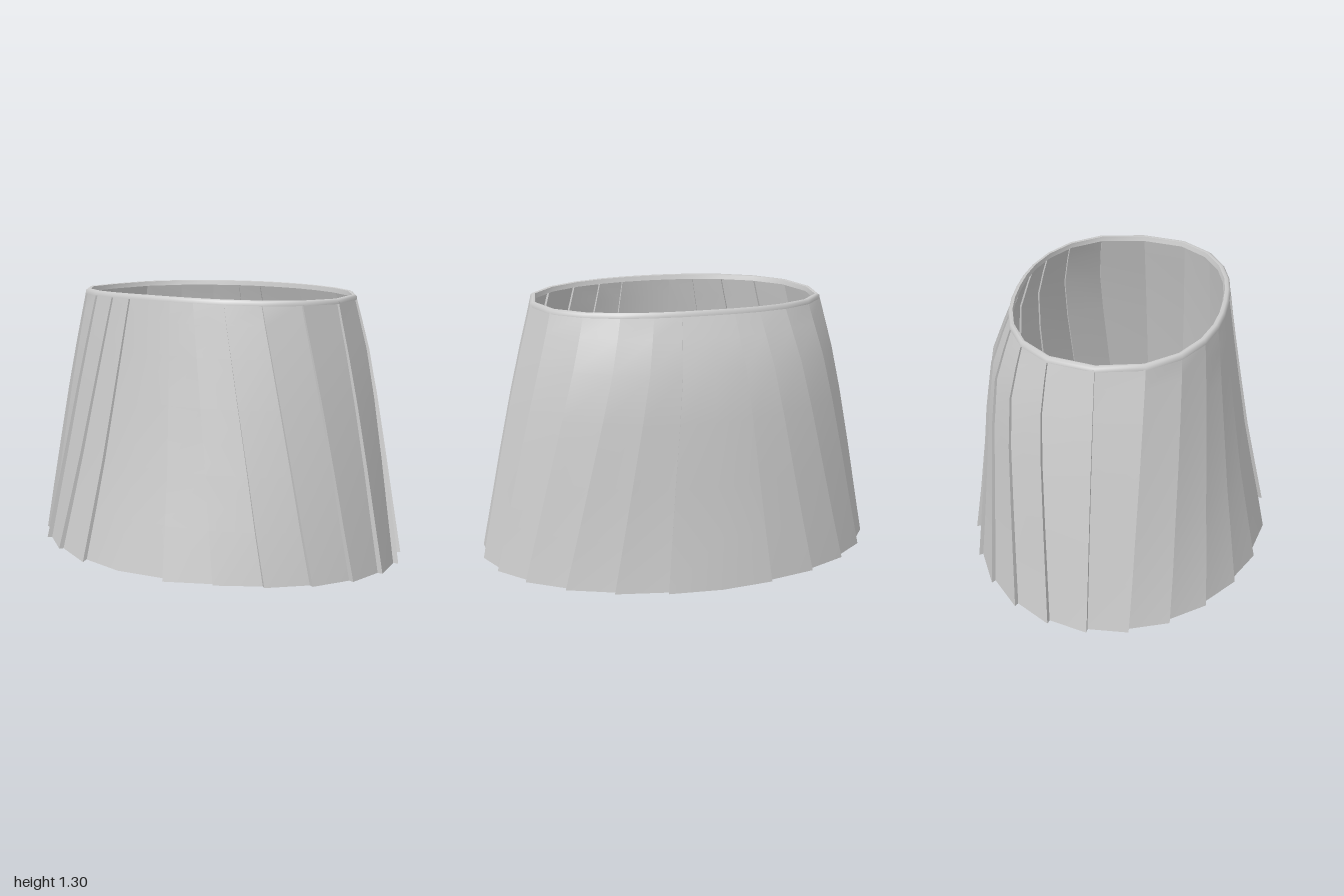
import * as THREE from 'three';
import { toCreasedNormals } from 'three/addons/utils/BufferGeometryUtils.js';

const PANELS = 12; // pleats on each half, from back centre to front centre

// One point of the oval: q in -90..90 degrees runs back to front on the +x half.
// t is the height fraction: the oval gets squarer and the folds gather forward/back.
function ovalPoint(q, t, halfWidth, front, back, scale) {
  const angle = q + 0.25 * t * Math.sin(2 * q);
  const e = 2 / (2 + 0.3 * t);
  const s = Math.sin(angle);
  const x = halfWidth * Math.pow(Math.max(Math.cos(angle), 0), e);
  const z = Math.sign(s) * Math.pow(Math.abs(s), e) * (s > 0 ? front : back);
  return [x * scale, z * scale];
}

// Closed loop: half the oval plus its mirror image
function mirrorLoop(half) {
  const other = half.slice(1, -1).reverse().map(([x, y, z]) => [-x, y, z]);
  return [...half, ...other];
}

// Skin a stack of loops with the same number of points
function skin(loops, crease) {
  const n = loops[0].length;
  const index = [];
  for (let r = 0; r < loops.length - 1; r++) {
    for (let i = 0; i < n; i++) {
      const a = r * n + i, b = r * n + (i + 1) % n;
      index.push(a, a + n, b, b, a + n, b + n);
    }
  }
  const g = new THREE.BufferGeometry();
  g.setAttribute('position', new THREE.Float32BufferAttribute(loops.flat(2), 3));
  g.setIndex(index);
  return toCreasedNormals(g, crease);
}

const panelAngle = (k) => -Math.PI / 2 + (k / PANELS) * Math.PI;

// Each panel starts tucked under its rear neighbour and ends proud of the next one
function pleatedLoop([y, a, front, back]) {
  const t = y / 1.28;
  const depth = 0.027 - 0.012 * t;
  const half = [];
  for (let k = 0; k < PANELS; k++) {
    const tucked = k === 0 ? 1 : 1 - depth;
    const start = ovalPoint(panelAngle(k), t, a, front, back, tucked);
    const end = ovalPoint(panelAngle(k + 1), t, a, front, back, 1);
    const endY = k === PANELS - 2 && y < 0.02 ? 0 : y; // front pleat corners hang lowest
    half.push([start[0], y, start[1]], [end[0], endY, end[1]]);
  }
  return mirrorLoop(half);
}

// Plain oval for the rim, dipping a little at the sides
function rimLoop(y, a, front, back) {
  const half = [];
  for (let k = 0; k <= PANELS; k++) {
    const q = panelAngle(k);
    const [x, z] = ovalPoint(q, 1, a, front, back, 1);
    half.push([x, y + 0.012 * Math.abs(Math.sin(q)), z]);
  }
  return mirrorLoop(half);
}

export function createModel() {
  const group = new THREE.Group();
  group.name = 'pleatedSkirt';
  const material = new THREE.MeshStandardMaterial({ color: 0xcccccc, side: THREE.DoubleSide });

  // Pleated cloth: height, half width, front depth, back depth
  const rows = [
    [0.01, 1.0, 0.75, 0.75],
    [0.25, 0.953, 0.695, 0.715],
    [0.5, 0.905, 0.642, 0.685],
    [0.8, 0.843, 0.592, 0.655],
    [1.03, 0.79, 0.556, 0.62],
    [1.18, 0.752, 0.534, 0.562],
    [1.28, 0.728, 0.518, 0.52],
  ];
  const cloth = new THREE.Mesh(skin(rows.map(pleatedLoop), 0.5), material);
  cloth.name = 'pleatedCloth';

  // Waist rim: up the outside, over the rounded top and down inside
  const rim = new THREE.Mesh(skin([
    rimLoop(1.265, 0.73, 0.52, 0.523),
    rimLoop(1.282, 0.728, 0.518, 0.521),
    rimLoop(1.29, 0.718, 0.508, 0.513),
    rimLoop(1.288, 0.705, 0.492, 0.503),
    rimLoop(1.265, 0.7, 0.485, 0.5),
  ], 0.9), material);
  rim.name = 'waistRim';

  group.add(cloth, rim);
  return group;
}
